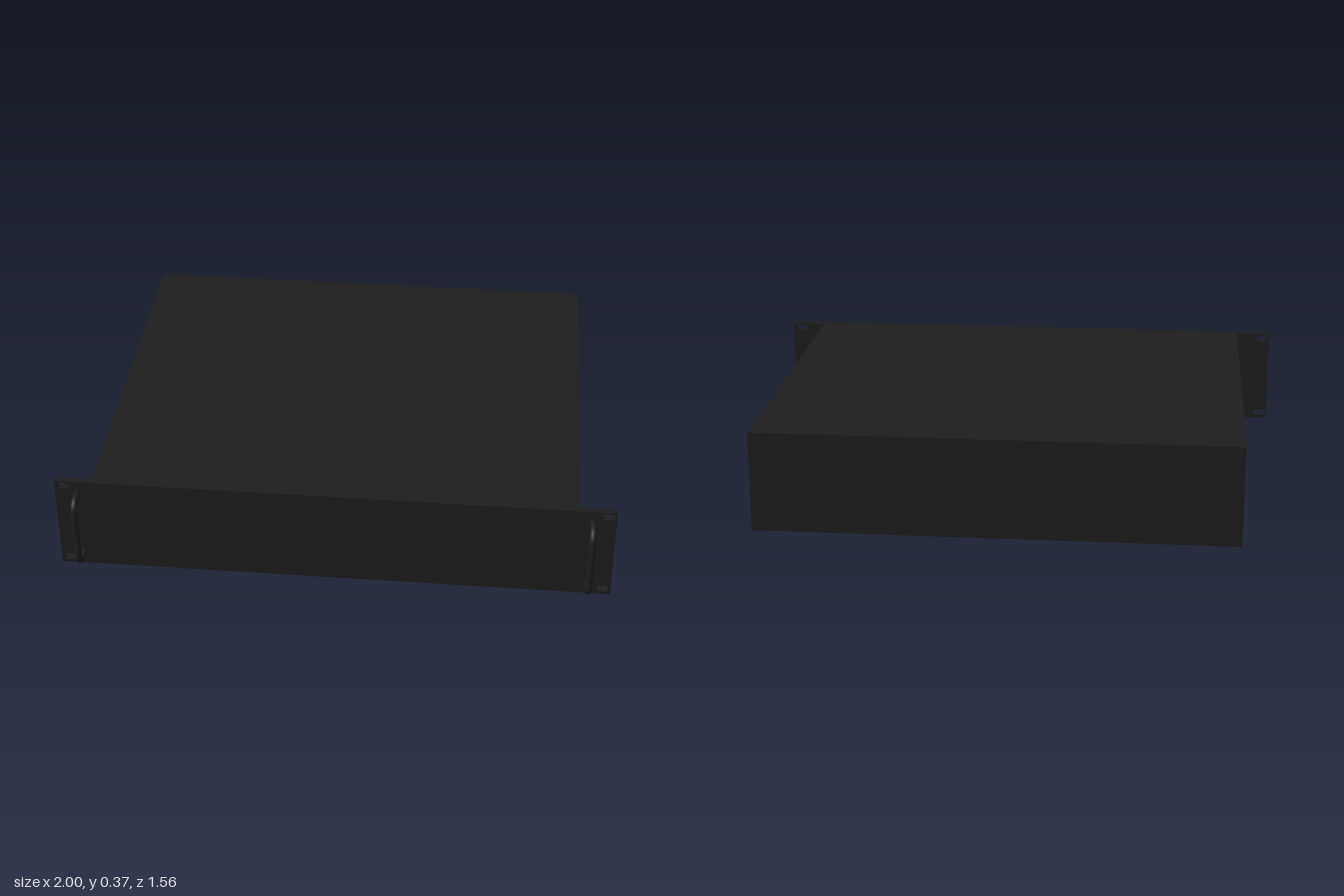
import * as THREE from 'three';

const H = 0.367, PANEL_BACK = 0.672, PANEL_FRONT = 0.694;

// Stadium-shaped mounting slot
function slot(cx, cy, w, h) {
  const r = h / 2, d = w / 2 - r, p = new THREE.Path();
  p.absarc(cx + d, cy, r, -Math.PI / 2, Math.PI / 2, false);
  p.absarc(cx - d, cy, r, Math.PI / 2, Math.PI * 1.5, false);
  p.closePath();
  return p;
}

// Front plate with four slots
function panelGeometry() {
  const s = new THREE.Shape();
  s.moveTo(-1, 0).lineTo(1, 0).lineTo(1, H).lineTo(-1, H).closePath();
  for (const x of [-0.97, 0.97])
    for (const y of [0.024, H - 0.02]) s.holes.push(slot(x, y, 0.046, 0.025));
  const g = new THREE.ExtrudeGeometry(s, { depth: PANEL_FRONT - PANEL_BACK, bevelEnabled: false, curveSegments: 12 });
  return g.translate(0, 0, PANEL_BACK);
}

// Bent round bar in the yz plane
function handleGeometry() {
  const tube = 0.0125, bend = 0.045, z0 = PANEL_FRONT - 0.01, z1 = 0.78 - tube;
  const y0 = 0.036 + tube, y1 = 0.335 - tube;
  const v = (y, z) => new THREE.Vector3(0, y, z);
  const path = new THREE.CurvePath();
  const corner = (cy, cz, from) => {
    let last = null;
    for (let i = 0; i <= 8; i++) {
      const a = from + (i / 8) * Math.PI / 2;
      const p = v(cy + bend * Math.sin(a), cz + bend * Math.cos(a));
      if (last) path.add(new THREE.LineCurve3(last, p));
      last = p;
    }
  };
  path.add(new THREE.LineCurve3(v(y0, z0), v(y0, z1 - bend)));
  corner(y0 + bend, z1 - bend, -Math.PI / 2);
  path.add(new THREE.LineCurve3(v(y0 + bend, z1), v(y1 - bend, z1)));
  corner(y1 - bend, z1 - bend, 0);
  path.add(new THREE.LineCurve3(v(y1, z1 - bend), v(y1, z0)));
  return new THREE.TubeGeometry(path, 96, tube, 16, false);
}

export function createModel() {
  const group = new THREE.Group();
  const black = new THREE.MeshStandardMaterial({ color: 0x1c1c1c });
  const add = (name, geometry) => {
    const mesh = new THREE.Mesh(geometry, black);
    mesh.name = name;
    group.add(mesh);
    return mesh;
  };

  // Closed case behind the plate
  const depth = PANEL_BACK + 0.78;
  add('case', new THREE.BoxGeometry(1.736, H, depth)).position.set(0, H / 2, PANEL_BACK - depth / 2);

  add('frontPanel', panelGeometry());

  const handle = handleGeometry();
  add('leftHandle', handle).position.x = 0.918;
  add('rightHandle', handle).position.x = -0.918;
  return group;
}
